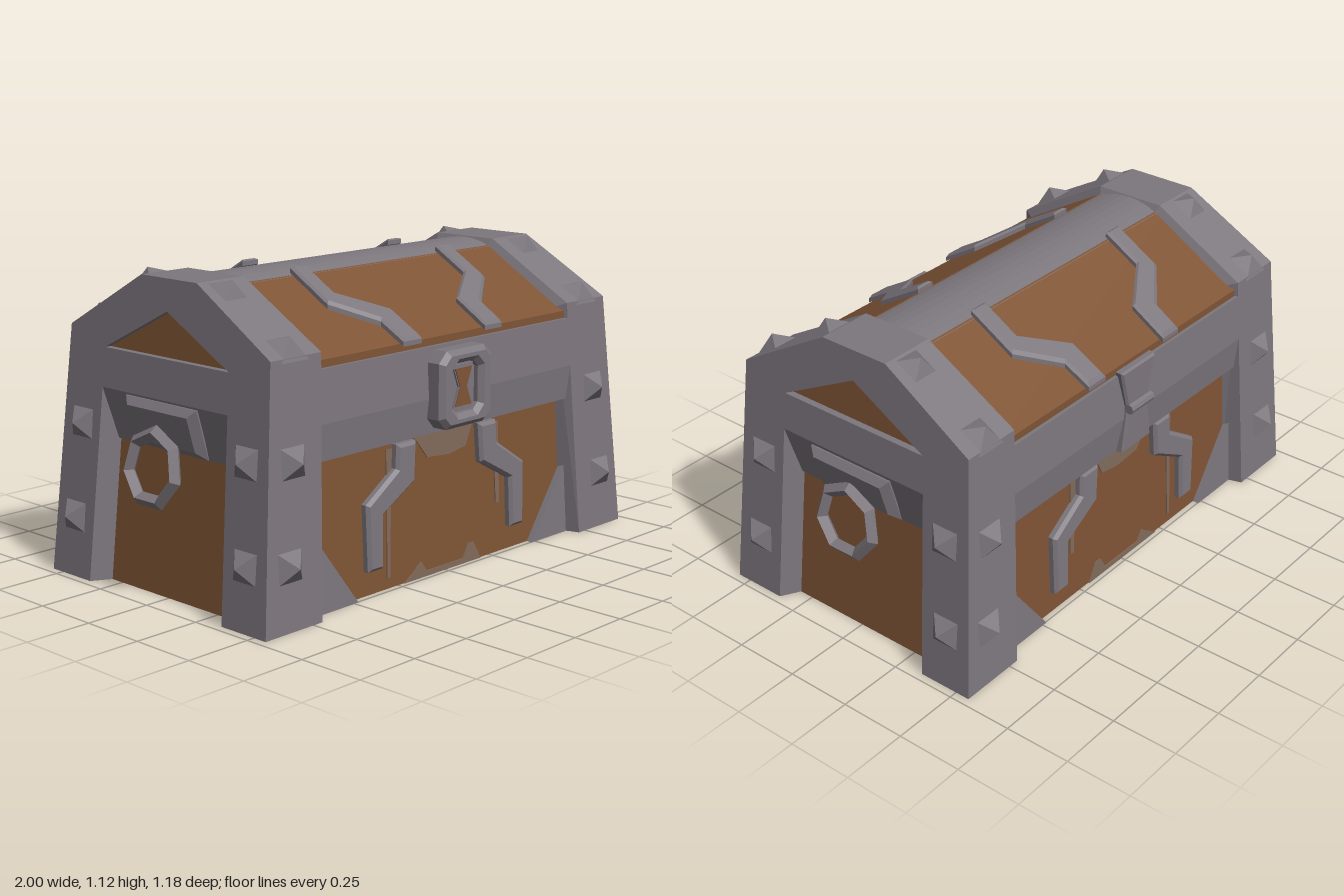
import * as THREE from 'three';

const mat = (name, color) => {
  const m = new THREE.MeshStandardMaterial({ color, side: THREE.DoubleSide });
  m.name = name;
  return m;
};

// Outer half width and half depth of the tapering chest at height y
const X = y => 0.97 - 0.09 * y;
const Z = y => 0.555 - 0.0556 * y;
const trimX = y => 0.71 - 0.05 * Math.min(y / 0.9, 1);
const panelZ = y => 0.478 - 0.03 * y;
const lidY = z => 0.87 + (0.495 - z) * 0.589;
// Depth of the end opening, fading out towards its top
const sink = y => 0.07 * Math.min(1, (0.7 - y) / 0.185);
const mirrorZ = pts => [...pts, ...pts.slice().reverse().map(([z, y]) => [-z, y])];

export function createModel() {
  const group = new THREE.Group();
  const iron = mat('iron', 0x7d777e);
  const wood = mat('wood', 0x7f5435);
  const stain = mat('worn wood', 0x806a5a);

  function add(name, geo, material) {
    const g = geo.index ? geo.toNonIndexed() : geo;
    g.computeVertexNormals();
    const mesh = new THREE.Mesh(g, material);
    mesh.name = name;
    group.add(mesh);
    return mesh;
  }
  // Join successive rows of points with flat quads
  function strip(name, material, rows, closed = false) {
    const v = [];
    for (let r = 0; r + 1 < rows.length; r++) {
      const a = rows[r], b = rows[r + 1], n = a.length;
      for (let i = 0; i < (closed ? n : n - 1); i++) {
        const j = (i + 1) % n;
        v.push(...a[i], ...b[i], ...b[j], ...a[i], ...b[j], ...a[j]);
      }
    }
    const g = new THREE.BufferGeometry();
    g.setAttribute('position', new THREE.Float32BufferAttribute(v, 3));
    return add(name, g, material);
  }
  const shapeOf = pts => new THREE.Shape(pts.map(p => new THREE.Vector2(...p)));
  // Move each vertex of a geometry by a rule
  function remap(geo, rule) {
    const p = geo.attributes.position;
    for (let i = 0; i < p.count; i++) p.setXYZ(i, ...rule(p.getX(i), p.getY(i), p.getZ(i)));
    return geo;
  }
  // Extruded outline with an optional sloping front edge
  function plate(name, material, shape, depth, rule, bevel = 0) {
    const geo = new THREE.ExtrudeGeometry(shape, {
      depth: depth - bevel, bevelEnabled: bevel > 0, bevelSize: bevel,
      bevelThickness: bevel, bevelOffset: -bevel, bevelSegments: 1
    });
    return add(name, remap(geo, (x, y, d) => rule(x, y, Math.max(d, 0.001))), material);
  }
  function stud(x, y, z, nx, ny, nz) {
    const geo = new THREE.ConeGeometry(0.085, 0.055, 4);
    geo.rotateY(Math.PI / 4);
    geo.translate(0, 0.0205, 0);
    const m = add('stud', geo, iron);
    m.position.set(x, y, z);
    m.quaternion.setFromUnitVectors(new THREE.Vector3(0, 1, 0), new THREE.Vector3(nx, ny, nz).normalize());
  }

  const outer = mirrorZ([[0.555, 0], [0.505, 0.9], [0.14, 1.11]]);
  const inset = mirrorZ([[0.47, 0], [0.455, 0.88], [0.12, 1.07]]);
  const notch = mirrorZ([[0.345, 0], [0.3266, 0.515], [0.32, 0.7]]);
  const notchIn = mirrorZ([[0.305, 0], [0.29, 0.515], [0.32, 0.7]]);
  const gable = [[-0.315, 0.84], [0.315, 0.84], [0, 1.0]];

  // Ends: iron frame, wooden panels, ring handle
  for (const s of [-1, 1]) {
    const at = (pts, fx) => pts.map(([z, y]) => [s * fx(y), y, z]);
    const face = shapeOf([...outer, ...notch.slice().reverse()]);
    face.holes.push(new THREE.Path(gable.map(p => new THREE.Vector2(...p))));
    add('endFrame', remap(new THREE.ShapeGeometry(face), (z, y) => [s * X(y), y, z]), iron);
    strip('postsAndLidTrim', iron, [at(outer, X), at(outer, trimX), at(inset, y => trimX(y) - 0.025)]);
    for (const k of [0, 3]) {
      strip('endOpeningBevel', iron, [at(notch.slice(k, k + 3), X), at(notchIn.slice(k, k + 3), y => X(y) - sink(y))]);
    }
    // Lintel slopes inward from the frame down to the panel
    strip('endLintel', iron, [[0.32, 0.7, 0], [0.29, 0.515, 0.06], [0.29, 0.515, 0.076]].map(
      ([z, y, d]) => [-z, z].map(q => [s * (X(y) - d), y, q])));
    strip('gableRim', iron, [at(gable, X), at(gable, y => X(y) - 0.03)], true);
    add('gablePanel', remap(new THREE.ShapeGeometry(shapeOf(gable)), (z, y) => [s * (X(y) - 0.025), y, z]), wood);
    strip('endPanel', wood, [0, 0.52].map(y => at([[0.31, y], [-0.31, y]], h => X(h) - 0.07)));
    plate('handleMount', iron, shapeOf([[-0.18, 0.515], [0.18, 0.515], [0.18, 0.695], [-0.18, 0.695]]), 0.035,
      (z, y, d) => [s * (X(y) - sink(y) + 0.005 + d), y, z], 0.028);
    const ring = add('ringHandle', new THREE.TorusGeometry(0.122, 0.026, 4, 7).rotateZ(-0.225).rotateY(Math.PI / 2), iron);
    ring.position.set(s * 0.95 - 0.008, 0.475, 0);
    ring.rotation.z = s * 0.15;
  }

  // Front and back share panels, band, straps and corner plates
  const strap = [[0.17, 0.515], [0.27, 0.515], [0.275, 0.43], [0.43, 0.33], [0.425, 0.09], [0.35, 0.09], [0.345, 0.28], [0.18, 0.37]];
  const lidStrap = [[0.17, 0.51], [0.265, 0.51], [0.27, 0.41], [0.42, 0.3], [0.42, 0.12], [0.345, 0.12], [0.345, 0.26], [0.175, 0.37]];
  const wear = [
    [[-0.16, 0.52], [0.16, 0.52], [0.12, 0.44], [0.03, 0.425], [-0.09, 0.435]],
    [[-0.31, 0.04], [-0.295, 0.04], [-0.285, 0.3], [-0.275, 0.5], [-0.305, 0.5], [-0.305, 0.3]],
    [[0.29, 0.19], [0.31, 0.19], [0.305, 0.5], [0.275, 0.5]],
    [[-0.22, 0], [0.2, 0], [0.16, 0.07], [0.13, 0.07], [0.1, 0.02], [-0.1, 0.02], [-0.13, 0.06], [-0.17, 0.03]]
  ];
  for (const f of [-1, 1]) {
    const onPanel = (x, y, d) => [x, y, f * (panelZ(y) + d)];
    const row = y => [[-0.72, y, f * panelZ(y)], [0.72, y, f * panelZ(y)]];
    strip('bodyPanel', wood, [row(0), row(0.56)]);
    // Band runs flush between the posts, its lower edge leaning inward
    const band = [[0.45, 0.515], [0.503, 0.53], [Z(0.66), 0.66], [Z(0.843), 0.843], [0.46, 0.843]];
    strip('rimBand', iron, band.map(([z, y]) => [-1, 1].map(s => [s * trimX(y), y, f * z])));
    for (const w of wear) plate('wornPatch', stain, shapeOf(w), 0.005, onPanel);
    for (const s of [-1, 1]) {
      const flip = pts => pts.map(([x, y]) => [s * x, y]);
      plate('bodyStrap', iron, shapeOf(flip(strap)), 0.032, onPanel, 0.012);
      plate('lidStrap', iron, shapeOf(flip(lidStrap)), 0.028, (x, z, d) => [x, lidY(z) + d, f * z], 0.01);
      plate('cornerPlate', iron, shapeOf(flip([[0.7, 0], [0.48, 0], [0.69, 0.28]])), 0.025, onPanel);
      // Studs on post fronts, post sides and lid slopes
      for (const [y, x, z] of [[0.56, 0.81, 0.42], [0.22, 0.845, 0.44]]) {
        stud(s * x, y, f * Z(y), 0, 0.055, f);
        stud(s * X(y), y, f * z, s, 0.09, 0);
      }
      for (const [y, z] of [[0.922, 0.46], [1.077, 0.19]]) stud(s * 0.78, y, f * z, 0, 0.87, f * 0.5);
    }
  }

  // Lid boards and rounded ridge
  const lid = mirrorZ([[0.495, 0.84], [0.495, 0.87], [0.13, 1.085]]);
  strip('lidBoards', wood, [-0.75, 0.75].map(x => lid.map(([z, y]) => [x, y, z])));
  const ridge = [];
  for (let i = 0; i <= 8; i++) {
    const z = 0.136 - i * 0.034;
    ridge.push([z, 1.106 - 0.024 * (z / 0.136) ** 2]);
  }
  strip('lidRidge', iron, [-0.7, 0.7].map(x => ridge.map(([z, y]) => [x, y, z])));

  // Raised floor
  const floor = add('floor', new THREE.BoxGeometry(1.68, 0.02, 0.92), iron);
  floor.position.y = 0.32;

  // Lock: eight-sided rim, back plate, keyhole
  const oct = (w, h, c) => [[w, h - c], [w - c, h], [c - w, h], [-w, h - c], [-w, c - h], [c - w, -h], [w - c, -h], [w, c - h]];
  const rim = shapeOf(oct(0.14, 0.14, 0.04));
  rim.holes.push(new THREE.Path(oct(0.07, 0.09, 0.025).map(p => new THREE.Vector2(...p))));
  const lockAt = z => (x, y, d) => [x, y + 0.69, z + d];
  plate('lockRim', iron, rim, 0.085, lockAt(0.495), 0.018);
  plate('lockPlate', iron, shapeOf(oct(0.1, 0.11, 0.02)), 0.05, lockAt(0.495));
  const hourglass = k => shapeOf([[0.045 * k, 0.068 * k], [0.018 * k, 0], [0.045 * k, -0.068 * k],
    [-0.045 * k, -0.068 * k], [-0.018 * k, 0], [-0.045 * k, 0.068 * k]]);
  plate('keyholeRim', iron, hourglass(1.2), 0.008, lockAt(0.545));
  plate('keyhole', wood, hourglass(1), 0.004, lockAt(0.553));

  // Back hinge: two flared leaves and a pin
  const leaf = (y0, y1, w0, w1) => shapeOf([[-w0, y0], [w0, y0], [w1, y1], [-w1, y1]]);
  plate('hingeUpperLeaf', iron, leaf(0.71, 0.86, 0.06, 0.1), 0.03, (x, y, d) => [x, y, -0.5 - d], 0.008);
  plate('hingeLowerLeaf', iron, leaf(0.53, 0.695, 0.085, 0.06), 0.03, (x, y, d) => [x, y, -0.503 - d], 0.008);
  const pin = add('hingePin', new THREE.CylinderGeometry(0.019, 0.019, 0.13, 8).rotateZ(Math.PI / 2), iron);
  pin.position.set(0, 0.705, -0.537);

  return group;
}
